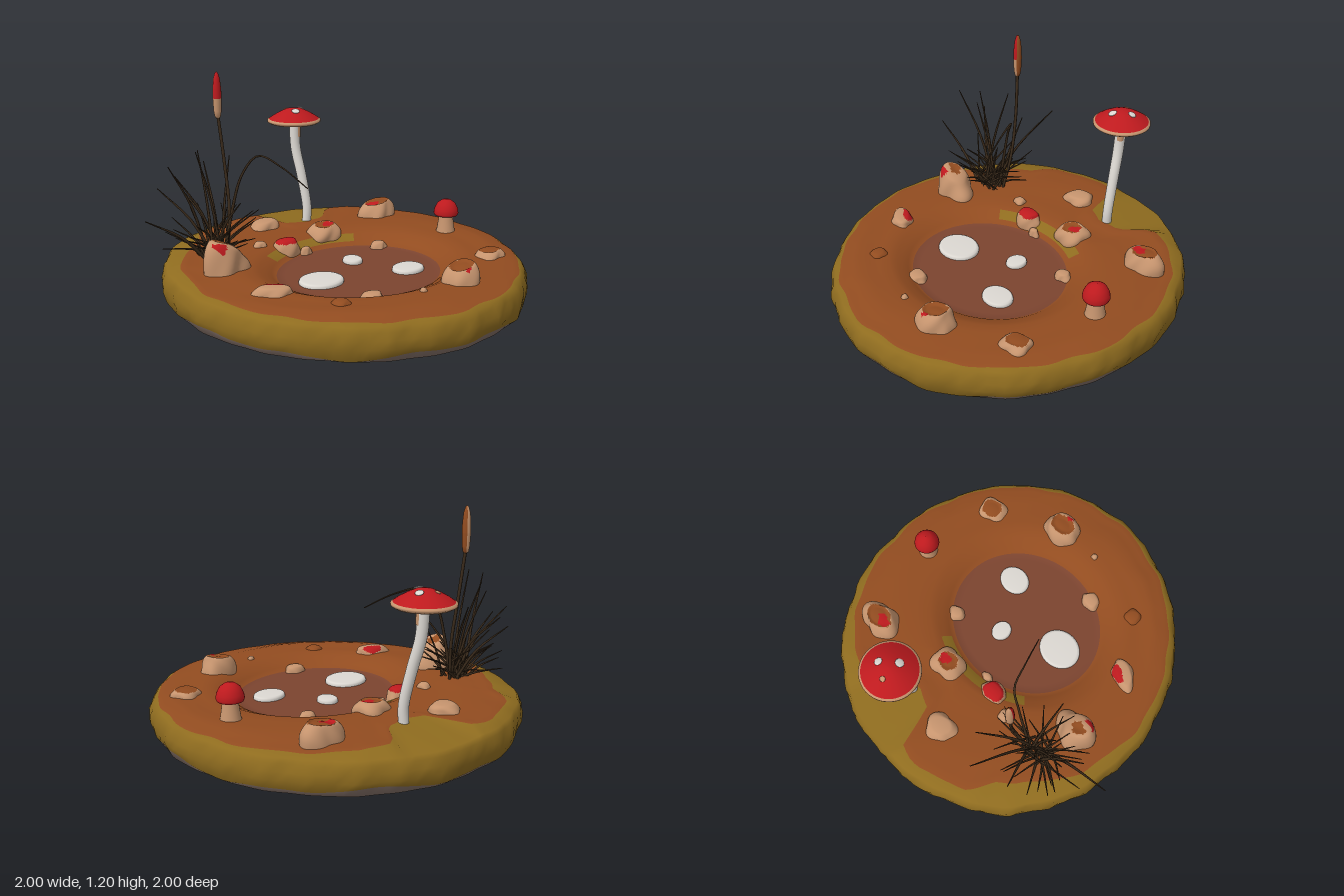
import * as THREE from 'three';
import { mergeGeometries, mergeVertices } from 'three/addons/utils/BufferGeometryUtils.js';

const mat = (name, color) => Object.assign(new THREE.MeshStandardMaterial({ color }), { name });
const V = (p) => new THREE.Vector3(...p);
const { lerp, smoothstep } = THREE.MathUtils;

// Tube along a smooth curve with a radius that varies from base (t=0) to tip (t=1)
function taperTube(points, radiusAt, steps, sides) {
  const curve = new THREE.CatmullRomCurve3(points.map(V));
  const g = new THREE.TubeGeometry(curve, steps, 1, sides);
  const pos = g.attributes.position, v = new THREE.Vector3();
  for (let i = 0; i <= steps; i++) {
    const c = curve.getPointAt(i / steps), r = radiusAt(i / steps);
    for (let j = 0; j <= sides; j++) {
      const k = i * (sides + 1) + j;
      v.fromBufferAttribute(pos, k).sub(c).multiplyScalar(r).add(c);
      pos.setXYZ(k, v.x, v.y, v.z);
    }
  }
  return g;
}

// Linear lookup in [key, value] pairs
function lookup(table, x) {
  const i = Math.max(1, table.findIndex(([k]) => k >= x));
  const [a, b] = [table[i - 1], table[i]];
  return lerp(a[1], b[1], (x - a[0]) / (b[0] - a[0]));
}

// Index a geometry from one triangle list per material
function setGroups(g, lists) {
  let start = 0;
  g.setIndex(lists.flat());
  lists.forEach((l, k) => { g.addGroup(start, l.length, k); start += l.length; });
  g.computeVertexNormals();
}

export function createModel() {
  const earth = mat('earth brown', 0x924c20), moss = mat('moss olive', 0x8f6c1f);
  const mud = mat('pool brown', 0x7c442f), base = mat('base grey', 0x806d64);
  const stone = mat('stone tan', 0xc6946e), red = mat('cap red', 0xbe1a1e);
  const white = mat('pale white', 0xdcd8d2), reed = mat('reed dark', 0x3b2b1b);

  const model = new THREE.Group();
  const add = (name, geo, material, parent = model) => {
    const m = new THREE.Mesh(geo, material);
    m.name = name;
    parent.add(m);
    return m;
  };
  const group = (name) => {
    const g = new THREE.Group();
    g.name = name;
    model.add(g);
    return g;
  };

  // Ground: rings from the underside, up the rim, then inward to the sunken pool
  const N = 144;
  const degrees = (a) => (a * 180 / Math.PI) % 360;
  const outline = [[0, 0], [42, 0.015], [90, 0], [120, -0.018], [145, -0.03], [180, -0.002], [200, 0.02], [222, 0.035], [270, 0], [330, 0.01], [360, 0]];
  const rough = (a) => 0.003 * Math.sin(5 * a + 1) + 0.004 * Math.sin(13 * a) + 0.003 * Math.sin(29 * a + 2);
  const rim = (a, s, y) => {
    const r = s * (0.994 + rough(a) + lookup(outline, degrees(a)));
    return [0.025 + 0.968 * r * Math.cos(a), y, r * Math.sin(a)];
  };
  // Edge of the bare earth, as a fraction of the rim by angle in degrees
  const earthEdge = [[0, 0.955], [90, 0.95], [165, 0.94], [185, 0.92], [205, 0.89], [216, 0.85], [227, 0.85],
    [238, 0.92], [255, 0.92], [265, 0.89], [269, 0.66], [281, 0.6], [292, 0.68], [296, 0.86], [306, 0.9], [322, 0.93], [360, 0.955]];
  const edge = (a) => {
    const s = lookup(earthEdge, degrees(a)) + 0.006 * Math.sin(17 * a);
    return rim(a, s, s > 0.9 ? lerp(0.216, 0.2, (s - 0.9) / 0.06) : 0.22);
  };
  // Basin height by distance from the pool centre
  const basin = [[0, 0.15], [1, 0.152], [1.06, 0.172], [1.14, 0.19], [1.3, 0.219], [1.4, 0.222], [9, 0.222]];
  const groundY = (x, z) => lookup(basin, Math.hypot((x - 0.035) / 0.455, (z - 0.125) / 0.405));
  const pool = (s) => (a) => [0.035 + 0.455 * s * Math.cos(a), lookup(basin, s), 0.125 + 0.405 * s * Math.sin(a)];
  const inward = (t) => (a) => {
    const p = edge(a), q = pool(1.3)(a), bump = 0.006 * Math.sin(3 * a + 5 * t) * Math.sin(Math.PI * t);
    return [lerp(p[0], q[0], t), lerp(p[1], q[1], smoothstep(t, 0, 0.4)) + bump, lerp(p[2], q[2], t)];
  };
  // The far bank of the pool is mossy
  const bankAt = (a) => (a > 3.95 && a < 5.15 ? moss : earth);
  const bottom = (a) => rim(a, 0.935, 0.003);
  const rings = [
    [() => [0.025, 0.003, 0], base],
    [bottom, base],
    [bottom, base],
    [(a) => rim(a, 0.965, 0.016), base],
    [(a) => rim(a, 0.988, 0.046 + 0.011 * Math.sin(5 * a) + 0.008 * Math.sin(11 * a)), moss],
    [(a) => rim(a, 1 + 0.8 * rough(2 * a), 0.09), moss],
    [(a) => rim(a, 0.998 + 0.8 * rough(3 * a + 1), 0.13), moss],
    [(a) => rim(a, 0.986 + 0.5 * rough(2 * a + 2), 0.168), moss],
    [(a) => rim(a, 0.971, 0.19), moss],
    [edge, earth],
    ...[0.1, 0.25, 0.4, 0.6, 0.8].map((t) => [inward(t), earth]),
    [pool(1.3), earth],
    [pool(1.2), bankAt],
    [pool(1.14), bankAt],
    [pool(1.06), earth],
    [pool(1), mud],
    [pool(0.9), mud],
    [pool(0), mud],
  ];
  const pos = [], ground = new THREE.BufferGeometry(), mats = [base, moss, earth, mud];
  const tris = mats.map(() => []);
  rings.forEach(([f, m], i) => {
    for (let j = 0; j < N; j++) {
      const angle = j / N * 2 * Math.PI;
      pos.push(...f(angle));
      if (i === rings.length - 1) continue;
      const a = i * N + j, b = i * N + (j + 1) % N;
      tris[mats.indexOf(m.isMaterial ? m : m(angle))].push(a, a + N, b, b, a + N, b + N);
    }
  });
  ground.setAttribute('position', new THREE.Float32BufferAttribute(pos, 3));
  setGroups(ground, tris);
  add('ground', ground, mats);

  // Rocks: lumpy flat-topped blobs, with patches [material, direction, cosine limit]; earth patches are hollowed
  const rocks = group('rocks');
  function rock(x, z, rx, rz, top, yaw, tilt, patches = []) {
    const ico = new THREE.IcosahedronGeometry(1, 9);
    ico.deleteAttribute('uv');
    ico.deleteAttribute('normal');
    const g = mergeVertices(ico), p = g.attributes.position, v = new THREE.Vector3();
    const dirs = patches.map((q) => V(q[1]).normalize());
    const lists = [[], ...patches.map(() => [])], idx = g.index.array;
    for (let i = 0; i < idx.length; i += 3) {
      v.set(0, 0, 0);
      for (let k = 0; k < 3; k++) v.add(new THREE.Vector3().fromBufferAttribute(p, idx[i + k]));
      v.normalize();
      const hit = dirs.findIndex((d, k) => v.dot(d) + 0.02 * Math.sin(9 * v.x + 7 * v.z) > patches[k][2]);
      lists[hit + 1].push(idx[i], idx[i + 1], idx[i + 2]);
    }
    const ph = x * 13 + z * 7, floor = groundY(x, z) - 0.02, ry = top - floor;
    for (let i = 0; i < p.count; i++) {
      v.fromBufferAttribute(p, i);
      const s = 1 + 0.09 * Math.sin(3 * v.x + ph) + 0.08 * Math.sin(4 * v.z + 2 * ph) + 0.05 * Math.sin(6 * v.x - 4 * v.y + ph);
      let y = Math.min(v.y, 0.5 + 0.35 * v.y) / 0.85 * (1 + tilt * v.x);
      patches.forEach((q, k) => {
        if (q[0] === earth) y -= 0.15 * smoothstep(v.dot(dirs[k]), q[2] - 0.02, q[2] + 0.12);
      });
      p.setXYZ(i, v.x * s * rx, Math.max(y, -0.5) * ry, v.z * s * rz);
    }
    setGroups(g, lists);
    const m = add('rock', g, [stone, ...patches.map((q) => q[0])], rocks);
    m.position.set(x, floor, z);
    m.rotation.y = yaw;
  }
  const up = [0, 1, 0];
  rock(-0.12, -0.66, 0.095, 0.08, 0.26, 0.3, 0.1);
  rock(0.13, -0.39, 0.1, 0.085, 0.27, 0.1, 0.1, [[red, [0.3, 1, 0.1], 0.93], [earth, [0, 1, 0.1], 0.8]]);
  rock(0.59, -0.5, 0.115, 0.1, 0.315, 0, 0.2, [[red, [-0.3, 1, 0], 0.95], [earth, [0.05, 1, 0], 0.76]]);
  rock(-0.16, -0.31, 0.088, 0.056, 0.25, 0, 0, [[red, up, 0.62]]);
  rock(-0.31, -0.36, 0.04, 0.035, 0.245, 0, 0);
  rock(-0.06, -0.27, 0.035, 0.03, 0.195, 0, 0);
  rock(-0.63, -0.13, 0.12, 0.105, 0.365, 0, -0.4, [[red, [-0.5, 0.8, 0.55], 0.97], [earth, [-0.2, 1, -0.1], 0.95]]);
  rock(-0.59, 0.29, 0.105, 0.062, 0.255, -0.5, 0, [[red, [0.05, 0.75, -0.6], 0.85]]);
  rock(-0.38, 0.58, 0.05, 0.05, 0.243, 0, 0, [[earth, up, 0.2]]);
  rock(-0.13, 0.49, 0.068, 0.05, 0.19, -0.2, 0);
  rock(0.04, 0.68, 0.02, 0.02, 0.238, 0, 0);
  rock(0.3, 0.66, 0.12, 0.085, 0.31, 0.25, 0.2, [[red, [-0.05, 0.7, 0.6], 0.985], [earth, [0, 1, 0], 0.8]]);
  rock(0.67, 0.45, 0.085, 0.07, 0.255, 0.3, 0.1, [[earth, [0.05, 1, -0.1], 0.7]]);
  rock(0.35, -0.14, 0.05, 0.05, 0.19, 0, 0);

  // Pale stepping stones in the pool
  const pad = [[0, 0.022], [0.85, 0.022], [0.96, 0.017], [1, 0.008], [1, -0.005]].reverse().map((p) => new THREE.Vector2(...p));
  for (const [x, z, rx, rz] of [[-0.22, 0.15, 0.123, 0.108], [0.27, 0.25, 0.092, 0.077], [0.09, -0.02, 0.053, 0.06]])
    add('steppingStone', new THREE.LatheGeometry(pad, 32).scale(rx, 1, rz), white).position.set(x, 0.152, z);

  // Mushrooms
  const lathe = (pts, ...arc) => new THREE.LatheGeometry(pts.map((p) => new THREE.Vector2(...p)), ...arc);
  const tall = group('tallMushroom');
  add('stem', taperTube([[0.16, 0.2, -0.63], [0.165, 0.3, -0.63], [0.152, 0.5, -0.67], [0.137, 0.66, -0.708], [0.136, 0.83, -0.72]],
    (t) => lerp(0.027, 0.031, t), 24, 16), white, tall);
  add('stemPatch', taperTube([[0.146, 0.725, -0.7065], [0.147, 0.765, -0.7075], [0.147, 0.805, -0.71]], () => 0.0215, 6, 12), stone, tall);
  const cap = group('tallMushroomCap');
  cap.position.set(0.135, 0.815, -0.72);
  add('cap', lathe([[0.148, 0.022], [0.125, 0.038], [0.085, 0.061], [0.045, 0.079], [0.018, 0.084], [0, 0.085]], 40), red, cap);
  add('capRim', lathe([[0, 0.006], [0.1, -0.004], [0.146, -0.003], [0.159, 0.006], [0.159, 0.016], [0.148, 0.022]], 40), stone, cap);
  for (const [x, z, y, r, m] of [[0.058, -0.018, 0.0755, 0.022, white], [-0.02, 0.055, 0.0755, 0.024, white], [-0.025, -0.06, 0.072, 0.015, stone]]) {
    const spot = add('capSpot', new THREE.SphereGeometry(r, 14, 8).scale(1, 0.22, 1), m, cap);
    spot.position.set(x, y, z);
    spot.rotation.set(z * 7, 0, -x * 7);
  }

  const small = group('smallMushroom');
  small.position.set(0.74, 0.2, -0.01);
  add('stem', lathe([[0.06, 0], [0.052, 0.03], [0.043, 0.09], [0.038, 0.13]], 24), stone, small);
  add('cap', lathe([[0, 0.122], [0.05, 0.116], [0.067, 0.118], [0.072, 0.13], [0.068, 0.155], [0.052, 0.187], [0.028, 0.205], [0, 0.211]], 32), red, small);

  // Grass tuft: a few long blades, then seeded short ones
  let seed = 7;
  const rand = () => (seed = (seed * 16807) % 2147483647) / 2147483647;
  const blades = [];
  const blade = (b, tip, r) => {
    const mid = [lerp(b[0], tip[0], 0.4), lerp(b[1], tip[1], 0.54), lerp(b[2], tip[2], 0.4)];
    blades.push(taperTube([b, mid, tip], (t) => r * (1 - 0.72 * t * t), 8, 5));
  };
  const root = () => [-0.58 + (rand() - 0.5) * 0.14, 0.21, -0.36 + (rand() - 0.5) * 0.12];
  for (const tip of [[-1, 0.5, -0.29], [-0.85, 0.76, -0.32], [-0.68, 0.81, -0.35], [-0.6, 0.78, -0.5], [-0.36, 0.7, -0.6],
    [-0.46, 0.65, -0.73], [-0.65, 0.55, -0.65], [-0.84, 0.6, -0.5], [-0.53, 0.56, -0.14], [-0.78, 0.68, -0.4]])
    blade(root(), tip, 0.009);
  for (let i = 0; i < 36; i++) {
    const a = i * 2.4, s = 0.07 + 0.19 * rand(), h = 0.05 + 0.2 * rand();
    blade(root(), [-0.59 + s * Math.cos(a) * 1.15, 0.22 + h, -0.36 + s * Math.sin(a)], 0.007);
  }
  blades.push(taperTube([[-0.52, 0.21, -0.37], [-0.47, 0.45, -0.365], [-0.41, 0.65, -0.35], [-0.335, 0.75, -0.31],
    [-0.27, 0.71, -0.17], [-0.2, 0.615, -0.01]], (t) => 0.01 * (1.05 - 0.75 * t), 28, 6));
  add('grassTuft', mergeGeometries(blades), reed);

  // Cattail: stalk and a spindle head in coloured sectors
  add('cattailStalk', taperTube([[-0.5, 0.21, -0.38], [-0.462, 0.45, -0.415], [-0.465, 0.7, -0.45], [-0.483, 0.97, -0.475]], () => 0.009, 20, 8), reed);
  const head = group('cattailHead');
  head.position.set(-0.483, 0.945, -0.475);
  const lower = [[0, 0], [0.015, 0.006], [0.021, 0.04], [0.024, 0.11]];
  const upper = [[0.024, 0.11], [0.023, 0.16], [0.018, 0.215], [0.009, 0.245], [0, 0.255]];
  const deg = Math.PI / 180;
  for (const [from, span, low, high] of [[-90, 130, stone, red], [40, 100, earth, earth], [140, 130, stone, stone]]) {
    add('headLower', lathe(lower, 8, from * deg, span * deg), low, head);
    add('headUpper', lathe(upper, 8, from * deg, span * deg), high, head);
  }
  return model;
}
